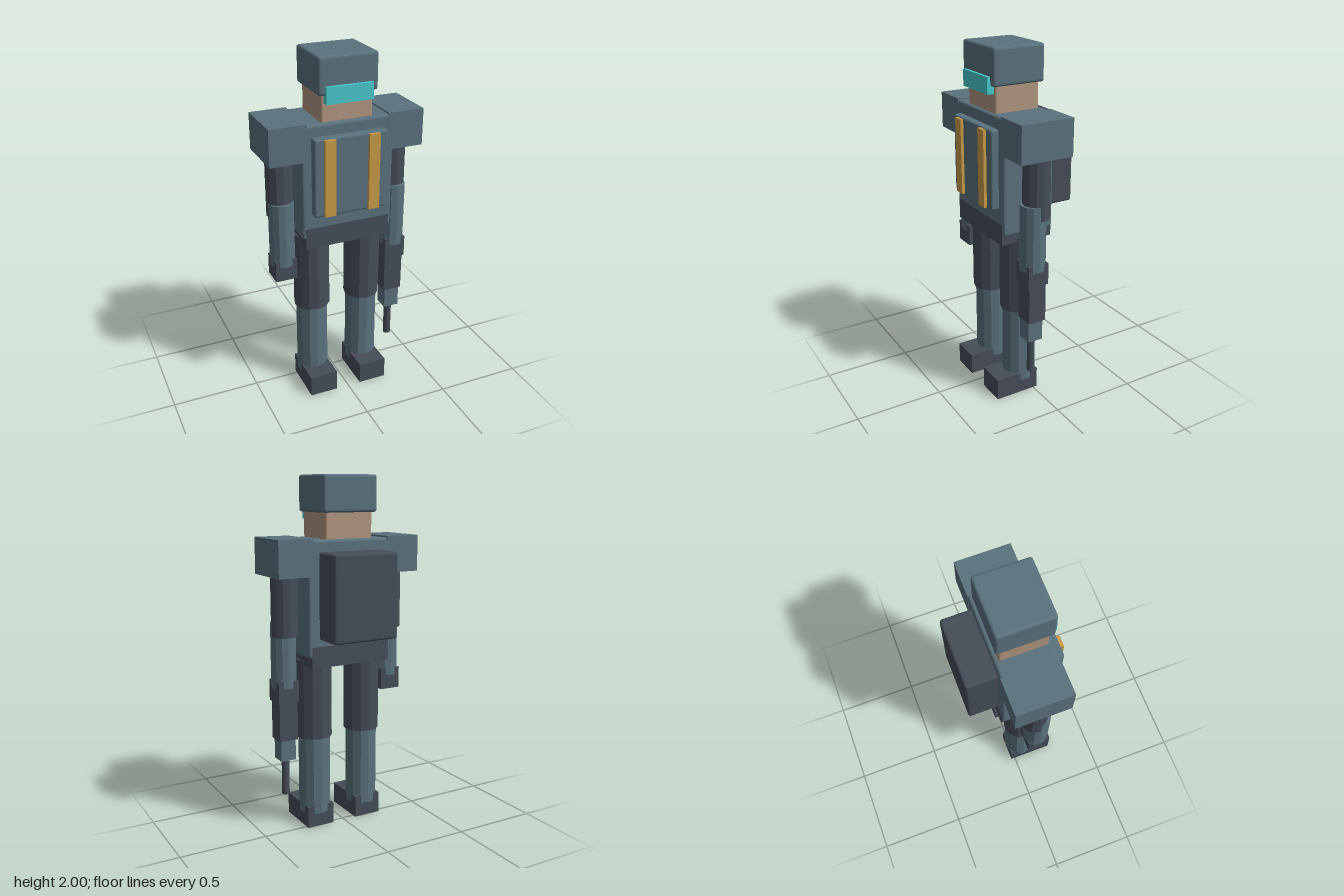
import * as THREE from 'three';
import { RoundedBoxGeometry } from 'three/addons/geometries/RoundedBoxGeometry.js';

const mat = (name, color, flat = false) => {
  const m = new THREE.MeshStandardMaterial({ color });
  m.name = name;
  m.flatShading = flat;
  return m;
};

export function createModel() {
  const model = new THREE.Group();
  model.name = 'soldier';
  const steel = mat('steelBlue', 0x5a727d, true);
  const dark = mat('charcoal', 0x464d57, true);
  const skin = mat('skin', 0xb0957f);
  const visorMat = mat('visorCyan', 0x48c8cc);
  const amber = mat('amber', 0xc89b4a);

  const add = (name, geo, material, parent) => {
    const mesh = new THREE.Mesh(geo, material);
    mesh.name = name;
    parent.add(mesh);
    return mesh;
  };
  // Box given by its extents on each axis; a radius rounds its edges
  const box = (name, material, [x0, x1], [y0, y1], [z0, z1], radius = 0, parent = model) => {
    const size = [x1 - x0, y1 - y0, z1 - z0];
    const geo = radius ? new RoundedBoxGeometry(...size, 2, radius) : new THREE.BoxGeometry(...size);
    add(name, geo, material, parent).position.set((x0 + x1) / 2, (y0 + y1) / 2, (z0 + z1) / 2);
  };
  // Upright faceted cylinder
  const tube = (name, material, x, z, r, y0, y1, parent = model) => {
    add(name, new THREE.CylinderGeometry(r, r, y1 - y0, 12), material, parent)
      .position.set(x, (y0 + y1) / 2, z);
  };

  // Head
  box('face', skin, [-0.145, 0.145], [1.6, 1.86], [-0.075, 0.187], 0.012);
  box('helmet', steel, [-0.165, 0.165], [1.8, 2.0], [-0.097, 0.207], 0.015);
  box('visor', visorMat, [-0.13, 0.13], [1.76, 1.85], [0.18, 0.225]);

  // Torso
  box('torso', steel, [-0.26, 0.26], [1.02, 1.66], [-0.097, 0.207], 0.015);
  box('chestPlate', steel, [-0.208, 0.208], [1.16, 1.595], [0.19, 0.25], 0.012);
  box('belt', dark, [-0.243, 0.243], [0.965, 1.083], [-0.098, 0.209]);
  box('backpack', dark, [-0.196, 0.196], [1.12, 1.595], [-0.267, -0.08], 0.015);

  // Mirrored limbs
  for (const s of [-1, 1]) {
    const span = (a, b) => (s > 0 ? [a, b] : [-b, -a]);
    const side = new THREE.Group();
    side.name = s > 0 ? 'leftSide' : 'rightSide';
    model.add(side);
    box('strap', amber, span(0.094, 0.156), [1.165, 1.588], [0.245, 0.267], 0, side);
    box('shoulderPad', steel, span(0.23, 0.435), [1.465, 1.668], [-0.099, 0.208], 0, side);
    tube('upperArm', dark, s * 0.335, 0.055, 0.074, 1.13, 1.5, side);
    tube('forearm', steel, s * 0.335, 0.075, 0.071, 0.84, 1.21, side);
    box('hand', dark, span(0.272, 0.396), [0.757, 0.88], [0.012, 0.136], 0, side);
    tube('thigh', dark, s * 0.157, 0.057, 0.103, 0.535, 0.99, side);
    tube('shin', steel, s * 0.157, 0.055, 0.091, 0.08, 0.56, side);
    box('boot', dark, span(0.075, 0.239), [0, 0.125], [-0.025, 0.24], 0, side);
  }

  // Weapon held muzzle down in the left hand
  const weapon = new THREE.Group();
  weapon.name = 'weapon';
  model.add(weapon);
  box('weaponBody', dark, [0.277, 0.388], [0.535, 0.77], [0.022, 0.126], 0, weapon);
  box('weaponShroud', steel, [0.287, 0.377], [0.413, 0.54], [0.033, 0.122], 0, weapon);
  tube('weaponBarrel', dark, 0.332, 0.078, 0.022, 0.2, 0.42, weapon);

  return model;
}
